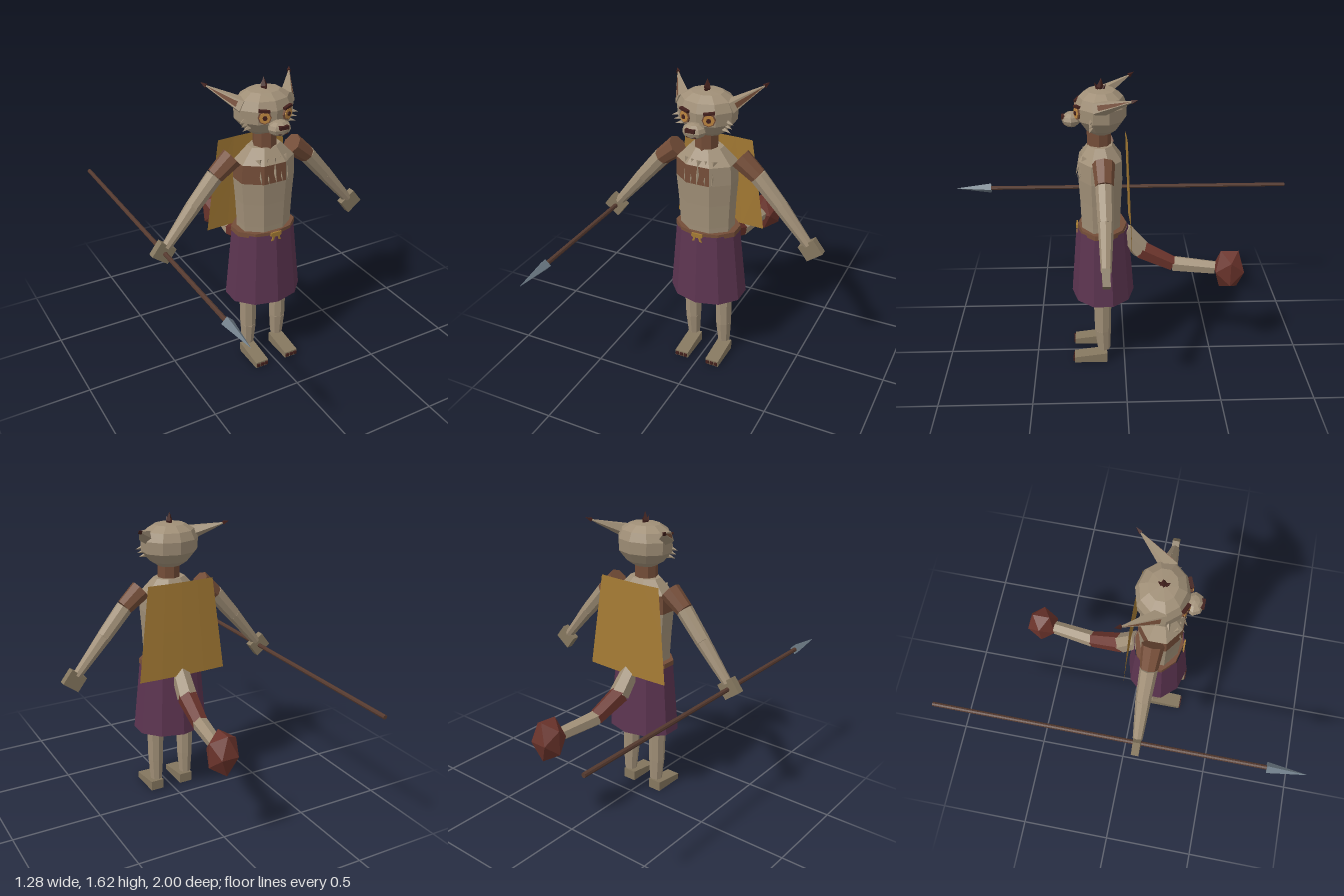
import * as THREE from 'three';

const V = (x, y, z) => new THREE.Vector3(x, y, z);
const UP = V(0, 1, 0);
const SIDES = [['left', 1], ['right', -1]];

export function createModel() {
  const model = new THREE.Group();
  model.name = 'tribalCreature';

  const material = (name, color, side = THREE.FrontSide) => {
    const m = new THREE.MeshStandardMaterial({ color, side });
    m.name = name;
    return m;
  };
  const skin = material('tan fur', 0xa08f77);
  const paw = material('dark tan paw', 0x85775f);
  const brown = material('brown fur', 0x744d38);
  const purple = material('purple cloth', 0x5c3450, THREE.DoubleSide);
  const gold = material('gold cloth', 0xa47a34, THREE.DoubleSide);
  const red = material('red fur', 0x6a332b);
  const dark = material('dark maroon', 0x42201c);
  const wood = material('wood', 0x553a2f);
  const steel = material('steel', 0x6d7b86);
  const amber = material('amber', 0xbd8640);

  // Faceted mesh: unshared corners give flat normals
  const add = (name, geo, mat) => {
    const flat = geo.index ? geo.toNonIndexed() : geo;
    flat.computeVertexNormals();
    const mesh = new THREE.Mesh(flat, mat);
    mesh.name = name;
    model.add(mesh);
    return mesh;
  };
  // Tapered prism between two points
  const limb = (name, a, b, ra, rb, mat, sides = 8) => {
    const geo = new THREE.CylinderGeometry(rb, ra, a.distanceTo(b), sides);
    const mesh = add(name, geo, mat);
    mesh.position.copy(a).lerp(b, 0.5);
    mesh.quaternion.setFromUnitVectors(UP, b.clone().sub(a).normalize());
    return mesh;
  };
  const spike = (name, a, b, r, mat, sides = 4) => limb(name, a, b, r, 0, mat, sides);
  // Revolved [radius, y] profile, squashed in depth
  const turned = (name, profile, mat, z, depth, sides, start = 0, length = Math.PI * 2) => {
    const pts = profile.map(([r, y]) => new THREE.Vector2(r, y));
    const mesh = add(name, new THREE.LatheGeometry(pts, sides, start, length).scale(1, 1, depth), mat);
    mesh.position.z = z;
    return mesh;
  };

  // Torso: octagonal, with a brown patch around its right chest
  const eighth = Math.PI / 8;
  turned('belly', [[0.148, 0.76], [0.15, 0.85], [0.157, 0.98], [0.167, 1.1]], skin, 0.125, 0.74, 8, eighth);
  turned('chestLeft', [[0.167, 1.1], [0.163, 1.2]], skin, 0.125, 0.74, 4, eighth, Math.PI);
  turned('chestRightPatch', [[0.167, 1.1], [0.163, 1.2]], brown, 0.125, 0.74, 4, eighth + Math.PI, Math.PI);
  turned('shoulders', [[0.163, 1.2], [0.09, 1.275], [0, 1.275]], skin, 0.125, 0.74, 8, eighth);
  limb('neck', V(0, 1.24, 0.13), V(0, 1.37, 0.13), 0.062, 0.062, brown);

  // Tooth necklace
  for (let i = -2; i <= 2; i++) {
    const x = i * 0.036, z = 0.225 - Math.abs(i) * 0.008;
    spike('necklaceTooth', V(x, 1.225, z - 0.01), V(x * 1.08, 1.1, z + 0.03), 0.019, skin);
  }

  // Skirt, belt and knotted buckle
  const skirt = add('skirt', new THREE.CylinderGeometry(0.173, 0.212, 0.4, 10, 1, true).scale(1, 1, 0.81), purple);
  skirt.position.set(0, 0.607, 0.118);
  const belt = add('belt', new THREE.CylinderGeometry(0.178, 0.18, 0.026, 10).scale(1, 1, 0.74), brown);
  belt.position.set(0, 0.808, 0.118);
  const knot = new THREE.Shape([
    [-0.03, 0.822], [-0.032, 0.805], [-0.02, 0.797], [-0.028, 0.775], [-0.014, 0.778], [-0.008, 0.798],
    [0.008, 0.798], [0.014, 0.778], [0.028, 0.775], [0.02, 0.797], [0.032, 0.805], [0.03, 0.822],
  ].map(([x, y]) => new THREE.Vector2(x, y)));
  add('beltKnot', new THREE.ExtrudeGeometry(knot, { depth: 0.009, bevelEnabled: false }), gold).position.z = 0.25;

  // Cape: a flared sheet hanging behind the back
  const capeGeo = new THREE.PlaneGeometry(1, 1, 4, 2);
  const p = capeGeo.attributes.position;
  for (let i = 0; i < p.count; i++) {
    const u = p.getX(i) * 2, t = 0.5 - p.getY(i);
    p.setXYZ(i, u * (0.19 + 0.065 * t), 1.277 - 0.517 * t, -0.012 - 0.02 * t - 0.008 * (1 - u * u));
  }
  add('cape', capeGeo, gold);

  // Head, snout and nose
  turned('head', [[0, 1.335], [0.065, 1.34], [0.108, 1.367], [0.153, 1.42], [0.157, 1.485],
    [0.135, 1.53], [0.085, 1.56], [0, 1.567]], skin, 0.117, 0.84, 10);
  add('snout', new THREE.SphereGeometry(1, 8, 6).scale(0.062, 0.039, 0.05), skin).position.set(0, 1.408, 0.27);
  add('nose', new THREE.BoxGeometry(0.05, 0.018, 0.02), dark).position.set(0, 1.422, 0.31);
  add('mouth', new THREE.BoxGeometry(0.05, 0.006, 0.008), dark).position.set(0, 1.388, 0.304);

  // Crest on the crown
  spike('crest', V(0, 1.575, 0.12), V(0, 1.622, 0.115), 0.019, dark);
  limb('crestBase', V(0, 1.555, 0.12), V(0, 1.575, 0.12), 0.008, 0.019, dark, 4);
  spike('crestFront', V(0, 1.56, 0.13), V(0, 1.598, 0.15), 0.012, dark);
  spike('crestBack', V(0, 1.56, 0.11), V(0, 1.592, 0.09), 0.012, dark);

  for (const [side, s] of SIDES) {
    // Eye: stacked thin discs under a slanted brow
    [[0.034, brown, 'Rim'], [0.028, amber, 'Iris'], [0.012, dark, 'Pupil']].forEach(([r, mat, part], i) => {
      const disc = new THREE.CylinderGeometry(r, r, 0.009, 8).rotateX(Math.PI / 2).rotateY(s * 0.4);
      add(side + 'Eye' + part, disc, mat).position.set(s * (0.064 + i * 0.0015), 1.46, 0.238 + i * 0.004);
    });
    const brow = add(side + 'Brow', new THREE.BoxGeometry(0.056, 0.012, 0.018), dark);
    brow.position.set(s * 0.066, 1.493, 0.238);
    brow.rotation.set(0, s * 0.4, s * 0.12);

    // Ear with inner sliver and dark tip
    const base = V(s * 0.12, 1.495, 0.135), tip = V(s * 0.25, 1.575, -0.05);
    spike(side + 'Ear', base, tip, 0.045, skin, 5);
    spike(side + 'InnerEar', V(s * 0.148, 1.507, 0.125), V(s * 0.236, 1.567, -0.022), 0.023, brown);
    spike(side + 'EarTip', V(s * 0.238, 1.568, -0.033), V(s * 0.256, 1.583, -0.06), 0.013, dark);

    // Cheek tufts
    for (let i = 0; i < 3; i++) {
      spike(side + 'CheekTuft', V(s * (0.125 - i * 0.008), 1.44 - i * 0.022, 0.165),
        V(s * (0.168 - i * 0.008), 1.428 - i * 0.022, 0.178), 0.014, skin);
    }

    // Arm
    const shoulder = V(s * 0.175, 1.228, 0.108), upper = V(s * 0.272, 1.147, 0.106);
    const elbow = V(s * 0.395, 1.005, 0.102), wrist = V(s * 0.555, 0.815, 0.104);
    limb(side + 'Shoulder', shoulder, upper, 0.058, 0.046, brown);
    limb(side + 'UpperArm', upper, elbow, 0.046, 0.04, skin);
    limb(side + 'Forearm', elbow, wrist, 0.04, 0.026, skin);
    const hand = add(side + 'Hand', new THREE.BoxGeometry(0.088, 0.1, 0.04), paw);
    hand.position.set(s * 0.573, 0.793, 0.104);
    hand.rotation.z = -s * 0.92;

    // Leg
    const x = s * 0.094;
    limb(side + 'Thigh', V(x, 0.2, 0.122), V(x, 0.72, 0.122), 0.045, 0.055, skin);
    limb(side + 'Shin', V(x, 0.075, 0.117), V(x, 0.2, 0.122), 0.035, 0.045, skin);

    // Wedge foot with three claws
    const footGeo = new THREE.BoxGeometry(0.077, 0.057, 0.185);
    const f = footGeo.attributes.position;
    for (let i = 0; i < f.count; i++) if (f.getY(i) > 0 && f.getZ(i) > 0) f.setY(i, 0.005);
    add(side + 'Foot', footGeo, paw).position.set(x, 0.0285, 0.192);
    for (let i = -1; i <= 1; i++) {
      add(side + 'Claw', new THREE.BoxGeometry(0.018, 0.018, 0.012), dark).position.set(x + i * 0.025, 0.017, 0.286);
    }
  }

  // Tail: banded segments ending in a faceted tuft
  const tail = [V(0, 0.77, 0), V(0.005, 0.654, -0.095), V(0.022, 0.574, -0.27), V(0.056, 0.562, -0.5)];
  const radii = [0.05, 0.056, 0.045, 0.038];
  for (let i = 0; i < 3; i++) {
    limb('tailSegment', tail[i], tail[i + 1], radii[i], radii[i + 1], i === 1 ? red : skin, 6);
  }
  const tuft = new THREE.IcosahedronGeometry(1, 0).rotateY(Math.PI / 2).scale(0.09, 0.129, 0.092);
  add('tailTuft', tuft, red).position.set(0.068, 0.56, -0.575);

  // Spear held in the right hand
  limb('spearShaft', V(-0.57, 0.79, -1), V(-0.57, 0.79, 0.8), 0.012, 0.012, wood);
  spike('spearHead', V(-0.57, 0.79, 0.785), V(-0.57, 0.79, 1), 0.03, steel);

  return model;
}
